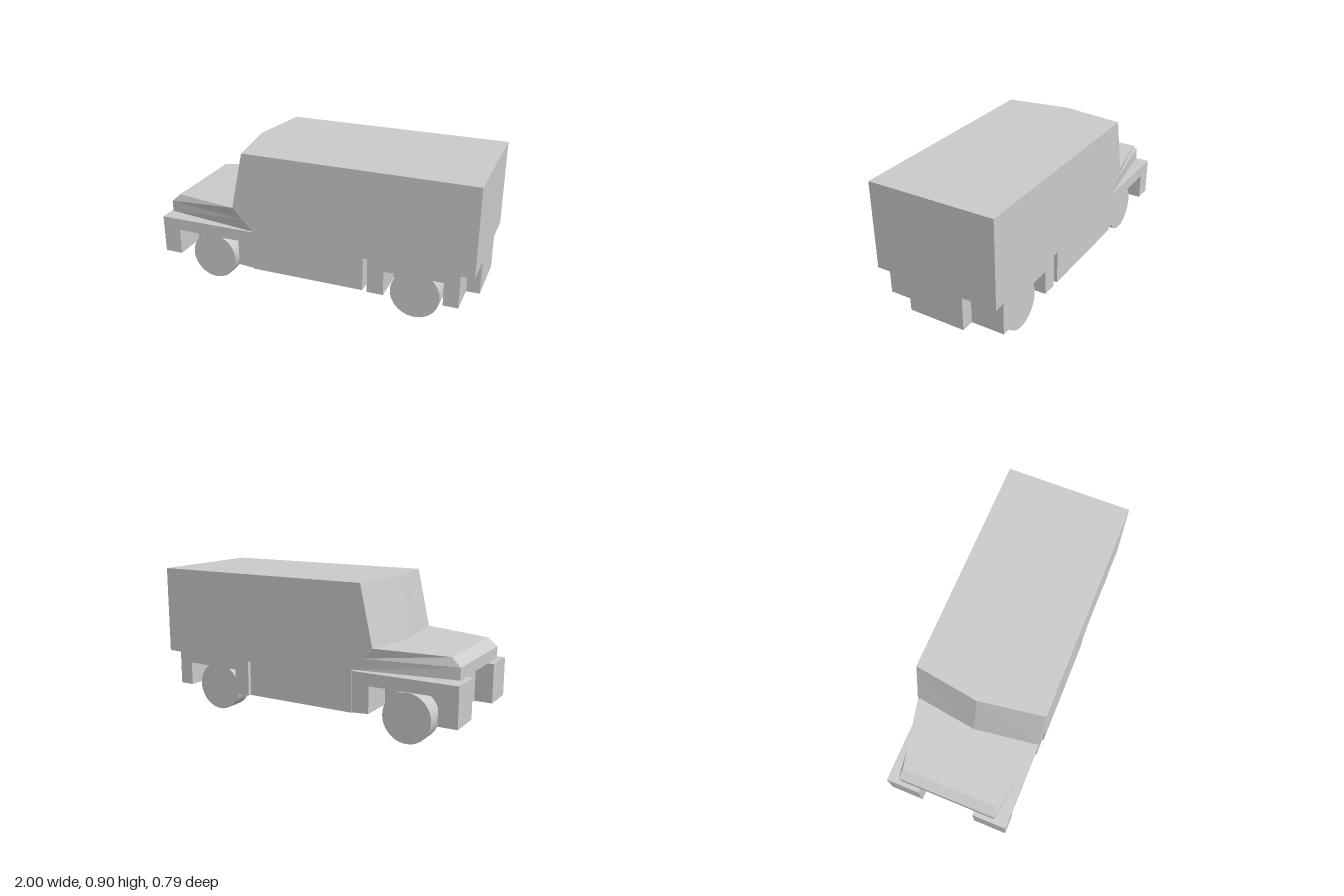
import * as THREE from 'three';

const material = new THREE.MeshStandardMaterial({ color: 0xcccccc, flatShading: true });
const smooth = new THREE.MeshStandardMaterial({ color: 0xcccccc });

function add(parent, name, geometry, mat = material) {
  const mesh = new THREE.Mesh(geometry, mat);
  mesh.name = name;
  parent.add(mesh);
  return mesh;
}

// Closed solid through equal-length rings, counter-clockwise seen from the last ring;
// project flattens a ring point for filling the two ends.
function loft(rings, project) {
  const pos = [];
  const tri = (...pts) => pts.forEach((p) => pos.push(...p));
  const n = rings[0].length;
  for (let i = 0; i < rings.length - 1; i++) {
    for (let j = 0; j < n; j++) {
      const k = (j + 1) % n;
      const [a, b, c, d] = [rings[i][j], rings[i][k], rings[i + 1][k], rings[i + 1][j]];
      tri(a, b, c);
      tri(a, c, d);
    }
  }
  const first = rings[0], last = rings[rings.length - 1];
  for (const [a, b, c] of THREE.ShapeUtils.triangulateShape(last.map(project), [])) tri(last[a], last[b], last[c]);
  for (const [a, b, c] of THREE.ShapeUtils.triangulateShape(first.map(project), [])) tri(first[c], first[b], first[a]);
  const g = new THREE.BufferGeometry();
  g.setAttribute('position', new THREE.Float32BufferAttribute(pos, 3));
  g.computeVertexNormals();
  return g;
}

function box(x0, x1, y0, y1, halfZ) {
  return new THREE.BoxGeometry(x1 - x0, y1 - y0, halfZ * 2).translate((x0 + x1) / 2, (y0 + y1) / 2, 0);
}

// Side profile extruded across z0..z1
function plate(points, z0, z1) {
  const shape = new THREE.Shape(points.map(([x, y]) => new THREE.Vector2(x, y)));
  return new THREE.ExtrudeGeometry(shape, { depth: z1 - z0, bevelEnabled: false }).translate(0, 0, z0);
}

export function createModel() {
  const group = new THREE.Group();

  // Cab and cargo body, with a windscreen that is pointed in the middle
  const section = (z, bottomX, topX) => [
    [-0.36, 0.15], [0.35, 0.15], [0.35, 0.36], [1, 0.36], [1, 0.9],
    [topX, 0.9], [bottomX, 0.54], [-0.36, 0.405],
  ].map(([x, y]) => [x, y, z]);
  add(group, 'body', loft(
    [section(-0.393, -0.49, -0.41), section(0, -0.545, -0.47), section(0.393, -0.49, -0.41)],
    (p) => new THREE.Vector2(p[0], p[1]),
  ));

  // Tapered hood with a bevelled nose
  const level = (xf, yf, wf, xb, yb, wb) => [[xf, yf, wf], [xb, yb, wb], [xb, yb, -wb], [xf, yf, -wf]];
  add(group, 'hood', loft([
    level(-0.975, 0.405, 0.305, -0.36, 0.405, 0.393),
    level(-0.975, 0.475, 0.305, -0.41, 0.475, 0.393),
    level(-0.92, 0.525, 0.297, -0.49, 0.54, 0.39),
  ], (p) => new THREE.Vector2(p[0], -p[2])));

  // Chassis between the wheels
  add(group, 'frontChassis', box(-0.89, -0.36, 0.155, 0.405, 0.176));
  add(group, 'rearChassis', box(0.35, 1, 0.15, 0.36, 0.178));

  // Fenders with square wheel arches
  const frontFender = [
    [-1, 0.155], [-0.885, 0.155], [-0.885, 0.32], [-0.465, 0.32], [-0.465, 0.157],
    [-0.36, 0.15], [-0.36, 0.395], [-1, 0.395],
  ];
  const rearFender = [
    [0.375, 0.14], [0.475, 0.14], [0.475, 0.295], [0.83, 0.295], [0.83, 0.15],
    [0.92, 0.15], [0.92, 0.36], [0.375, 0.36],
  ];
  for (const [side, s] of [['left', -1], ['right', 1]]) {
    const [z0, z1] = s > 0 ? [0.175, 0.385] : [-0.385, -0.175];
    add(group, side + 'FrontFender', plate(frontFender, z0, z1));
    add(group, side + 'RearFender', plate(rearFender, z0, z1));

    // Wheels
    for (const [end, x] of [['Front', -0.675], ['Rear', 0.65]]) {
      const wheel = add(group, side + end + 'Wheel',
        new THREE.CylinderGeometry(0.15, 0.15, 0.116, 48).rotateX(Math.PI / 2), smooth);
      wheel.position.set(x, 0.15, s * 0.271);
    }
  }
  return group;
}
